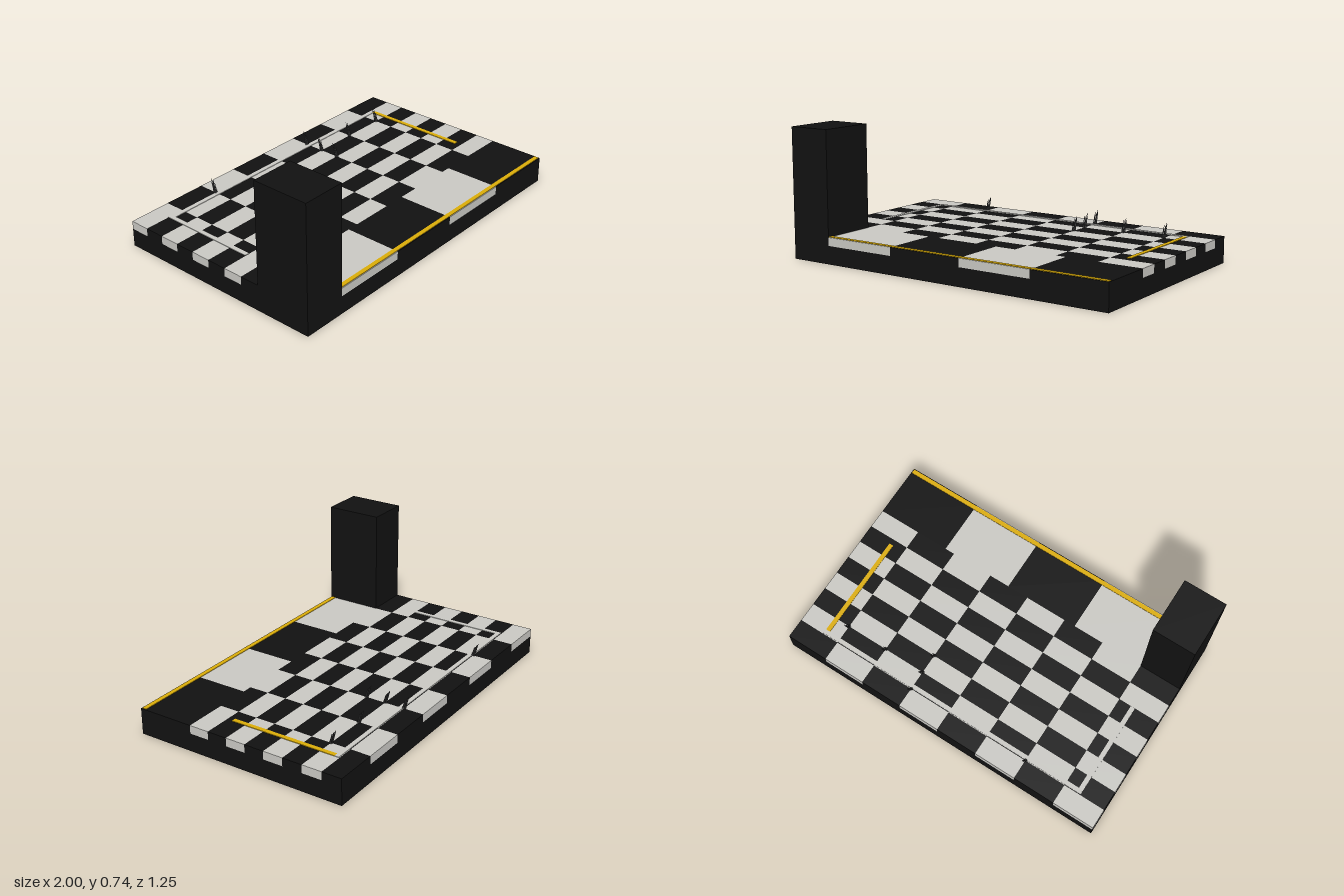
import * as THREE from 'three';

const mat = (name, color) => Object.assign(new THREE.MeshStandardMaterial({ color }), { name });

export function createModel() {
  const model = new THREE.Group();
  model.name = 'checkeredBoard';
  const black = mat('black', 0x111111);
  const grey = mat('lightGrey', 0xc8c7c2);
  const gold = mat('gold', 0xd9ab08);
  const dark = mat('darkGrey', 0x444444);

  // Box given by its limits on each axis
  const block = (name, material, x0, x1, y0, y1, z0, z1, parent = model) => {
    const mesh = new THREE.Mesh(new THREE.BoxGeometry(x1 - x0, y1 - y0, z1 - z0), material);
    mesh.position.set((x0 + x1) / 2, (y0 + y1) / 2, (z0 + z1) / 2);
    mesh.name = name;
    parent.add(mesh);
  };

  const BASE = 0.103, TOP = 0.15, BACK = -0.625, FRONT = 0.625, EDGE = 0.297;
  block('base', black, -1, 1, 0, BASE, BACK, FRONT);
  block('cornerTower', black, -1, -0.75, BASE, 0.738, EDGE, FRONT);
  block('towerFoot', black, -1, -0.75, 0.001, BASE, EDGE, FRONT);

  // Eight by eight checkered field
  const tiles = new THREE.Group();
  tiles.name = 'checkeredTiles';
  model.add(tiles);
  const depth = (EDGE - BACK) / 8;
  for (let row = 0; row < 8; row++) {
    for (let col = 0; col < 8; col++) {
      const light = (row + col) % 2 === 0;
      const x = -1 + col * 0.25, z = BACK + row * depth;
      block(light ? 'lightTile' : 'darkTile', light ? grey : black, x, x + 0.25, BASE, TOP, z, z + depth, tiles);
    }
  }

  // Large tiles along the front
  const edges = [-0.75, -0.317, 0.128, 0.558, 1];
  for (let i = 0; i < 4; i++) {
    block('frontTile', i % 2 ? black : grey, edges[i], edges[i + 1], BASE, TOP, EDGE, FRONT);
  }

  // Thin painted lines
  const line = (name, material, x0, x1, z0, z1) => block(name, material, x0, x1, TOP, TOP + 0.003, z0, z1);
  line('frontGoldLine', gold, -0.75, 0.995, 0.594, 0.62);
  line('sideGoldLine', gold, 0.822, 0.848, -0.48, 0.148);
  line('backGreyLine', grey, -0.85, 0.848, -0.506, -0.48);
  line('sideGreyLine', grey, -0.85, -0.824, -0.48, 0.065);

  // Small tufts of slender blades leaning backwards
  const bladeGeometry = new THREE.CylinderGeometry(0.0012, 0.003, 1, 5);
  bladeGeometry.translate(0, 0.5, 0);
  const spots = [[-0.5, -0.51], [0.25, -0.51], [0.25, -0.395], [0.5, -0.395], [0.75, -0.395], [0.25, -0.28]];
  for (const [x, z] of spots) {
    const tuft = new THREE.Group();
    tuft.name = 'tuft';
    tuft.position.set(x, TOP, z);
    for (let i = 0; i < 7; i++) {
      const blade = new THREE.Mesh(bladeGeometry, dark);
      const a = i * 2.4, r = i ? 0.008 : 0;
      blade.name = 'blade';
      blade.position.set(Math.cos(a) * r, 0, Math.sin(a) * r);
      blade.scale.y = 0.066 - Math.sin(a) * (i ? 0.014 : 0);
      blade.rotation.x = -0.27;
      tuft.add(blade);
    }
    model.add(tuft);
  }
  return model;
}
